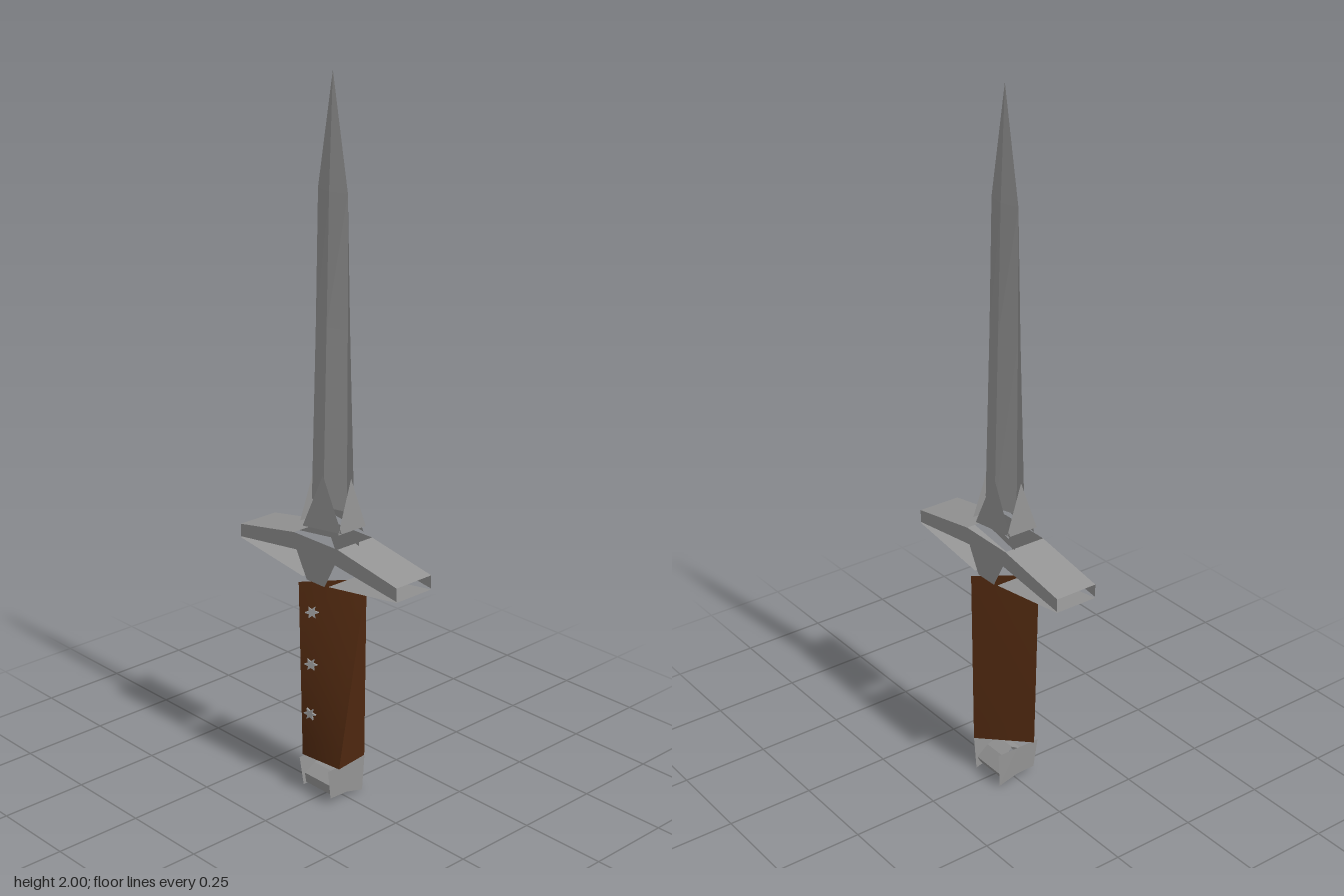
import * as THREE from 'three';

const steel = new THREE.MeshStandardMaterial({ color: 0x959595, side: THREE.DoubleSide });
steel.name = 'steel';
const leather = new THREE.MeshStandardMaterial({ color: 0x4d270f, side: THREE.DoubleSide });
leather.name = 'brown grip';

// Sheet of flat convex polygons, each a list of [x, y, z] corners (counter-clockwise from outside)
function sheet(name, polygons, material = steel) {
  const pos = [];
  for (const p of polygons) {
    for (let i = 1; i < p.length - 1; i++) pos.push(...p[0], ...p[i], ...p[i + 1]);
  }
  const geo = new THREE.BufferGeometry();
  geo.setAttribute('position', new THREE.Float32BufferAttribute(pos, 3));
  geo.computeVertexNormals();
  const mesh = new THREE.Mesh(geo, material);
  mesh.name = name;
  return mesh;
}

const lerp = (a, b, t) => a.map((v, i) => v + (b[i] - v) * t);
// Point on the patch spanned by top-left, top-right, bottom-left, bottom-right
const onPatch = ([tl, tr, bl, br], s, t) => lerp(lerp(tl, bl, t), lerp(tr, br, t), s);

// Smooth twisted panel between four corners
function panel(name, corners, n = 10) {
  const geo = new THREE.PlaneGeometry(1, 1, n, n);
  const pos = geo.attributes.position;
  for (let i = 0; i < pos.count; i++) {
    pos.setXYZ(i, ...onPatch(corners, pos.getX(i) + 0.5, 0.5 - pos.getY(i)));
  }
  geo.computeVertexNormals();
  const mesh = new THREE.Mesh(geo, leather);
  mesh.name = name;
  return mesh;
}

const turned = (polys) => polys.map((p) => p.map(([x, y, z]) => [-x, y, -z]));

function makeBlade() {
  const blade = new THREE.Group();
  blade.name = 'blade';
  // y, half width, half gap at the cutting edge, ridge height
  const rows = [[0.86, 0.068, 0.013, 0.034], [1.35, 0.06, 0.004, 0.022], [1.7, 0.055, 0, 0.013], [2, 0, 0, 0]];
  const front = [];
  for (let i = 0; i < rows.length - 1; i++) {
    const [y0, w0, g0, r0] = rows[i];
    const [y1, w1, g1, r1] = rows[i + 1];
    front.push([[-w0, y0, g0], [0, y0, r0], [0, y1, r1], [-w1, y1, g1]]);
    front.push([[0, y0, r0], [w0, y0, g0], [w1, y1, g1], [0, y1, r1]]);
  }
  blade.add(sheet('frontBladeFace', front), sheet('backBladeFace', turned(front)));
  // Pointed plates around the blade root
  const root = [
    [[-0.07, 0.79, 0.045], [0.082, 0.81, 0.045], [0, 0.95, 0.036]],
    [[0.074, 0.805, 0.05], [0.074, 0.805, -0.05], [0.07, 0.95, 0]],
  ];
  blade.add(sheet('bladeRoot', [...root, ...turned(root)]));
  return blade;
}

function makeGuard() {
  const guard = new THREE.Group();
  guard.name = 'guard';
  const d = 0.063;
  // Front and back faces: two arms and a central tongue
  const face = [
    [[-0.305, 0.695, d], [-0.075, 0.725, d], [-0.085, 0.772, d], [-0.305, 0.732, d]],
    [[0.305, 0.732, d], [0.085, 0.772, d], [0.075, 0.725, d], [0.305, 0.695, d]].reverse(),
    [[-0.075, 0.725, d], [-0.035, 0.65, d], [0.035, 0.65, d], [0.075, 0.725, d], [0.085, 0.772, d], [-0.085, 0.772, d]],
  ];
  guard.add(sheet('guardFaces', [...face, ...turned(face)]));
  // Sloping plates above and below each arm, with open ends
  const arm = [
    [[0.085, 0.772, d], [0.305, 0.732, d], [0.305, 0.732, -d], [0.085, 0.772, -d]],
    [[0.05, 0.655, -d], [0.305, 0.692, -d], [0.305, 0.692, d], [0.05, 0.655, d]],
  ];
  guard.add(sheet('guardArms', [...arm, ...turned(arm)]));
  // Thin collar strip under the blade
  guard.add(sheet('collar', [[[-0.09, 0.768, -0.035], [0.1, 0.768, 0], [0.1, 0.787, 0], [-0.09, 0.787, -0.035]]]));
  return guard;
}

function makeGrip() {
  const grip = new THREE.Group();
  grip.name = 'grip';
  // Thin diagonal slab that swells forward toward its lower end
  const A = [-0.055, 0.64, 0.074], B = [0.055, 0.64, -0.073];
  const C = [-0.065, 0.11, 0.054], D = [0.068, 0.11, 0.04], E = [0.055, 0.11, -0.068];
  const front = [A, B, C, D];
  grip.add(panel('gripFront', front));
  grip.add(panel('gripBack', [B, A, E, C]));
  grip.add(sheet('gripSide', [[B, D, E], [C, E, D]], leather));

  // Star-shaped rivets
  const star = new THREE.Shape();
  for (let i = 0; i < 12; i++) {
    const r = i % 2 ? 0.009 : 0.019;
    const a = (i * Math.PI) / 6;
    star[i ? 'lineTo' : 'moveTo'](r * Math.cos(a), r * Math.sin(a));
  }
  const rivetGeo = new THREE.ExtrudeGeometry(star, { depth: 0.006, bevelEnabled: false });
  for (const y of [0.55, 0.395, 0.245]) {
    const t = (0.64 - y) / 0.53;
    const p = new THREE.Vector3(...onPatch(front, 0.2, t));
    const across = new THREE.Vector3(...onPatch(front, 1, t)).sub(p).normalize();
    const normal = new THREE.Vector3(-across.z, 0, across.x);
    const rivet = new THREE.Mesh(rivetGeo, steel);
    rivet.name = 'rivet';
    rivet.position.copy(p);
    rivet.lookAt(p.clone().add(normal));
    grip.add(rivet);
  }
  return grip;
}

function makePommel() {
  const pommel = new THREE.Group();
  pommel.name = 'pommel';
  // Upright cheeks with a notched lower edge
  for (const x of [-0.058, 0.058]) {
    const b = x * 0.95;
    pommel.add(sheet('pommelCheek', [
      [[x, 0.11, 0.072], [b, 0.022, 0.06], [b, 0.02, 0], [x, 0.11, 0]],
      [[x, 0.11, 0], [b, 0.02, 0], [b, 0.005, -0.06], [x, 0.11, -0.066]],
    ]));
  }
  // Ridged saddle between the cheeks: half width, y, z
  const rows = [[0.05, 0.03, 0.055], [0.05, 0.06, 0.06], [0.042, 0.085, 0.03], [0.032, 0.1, 0], [0.042, 0.08, -0.03], [0.05, 0.045, -0.06], [0.05, 0.025, -0.05]];
  const saddle = [];
  for (let i = 0; i < rows.length - 1; i++) {
    const [w0, y0, z0] = rows[i];
    const [w1, y1, z1] = rows[i + 1];
    saddle.push([[-w0, y0, z0], [w0, y0, z0], [w1, y1, z1], [-w1, y1, z1]]);
  }
  pommel.add(sheet('pommelSaddle', saddle));
  return pommel;
}

export function createModel() {
  const dagger = new THREE.Group();
  dagger.name = 'dagger';
  dagger.add(makeBlade(), makeGuard(), makeGrip(), makePommel());
  return dagger;
}
